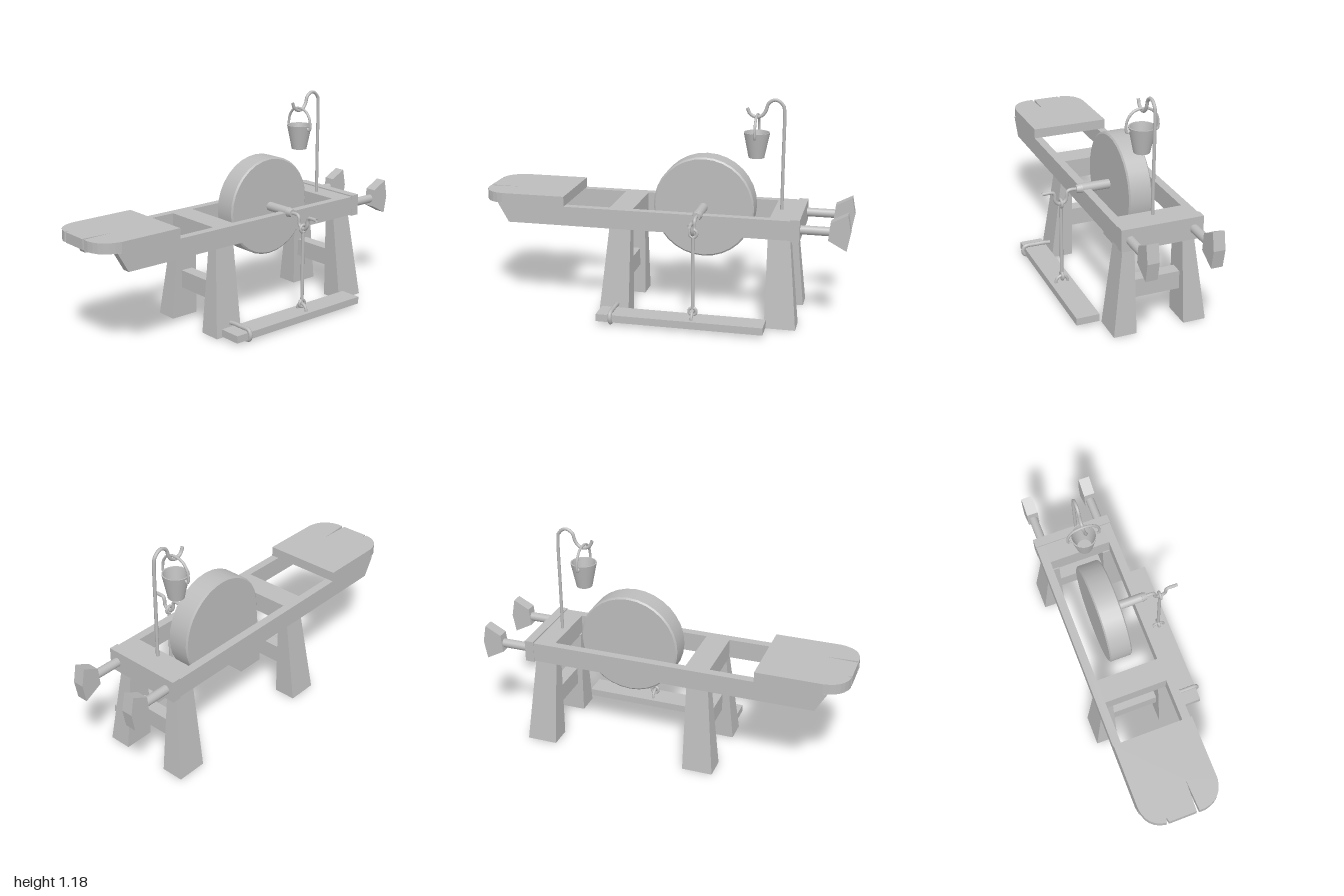
import * as THREE from 'three';

const CX = -0.0925; // middle plane of the bench

export function createModel() {
  const group = new THREE.Group();
  const grey = new THREE.MeshStandardMaterial({ color: 0xbcbcbc, side: THREE.DoubleSide });
  grey.name = 'plain grey';

  const add = (name, geometry) => {
    const mesh = new THREE.Mesh(geometry, grey);
    mesh.name = name;
    group.add(mesh);
    return mesh;
  };
  // box given by its limits
  const box = (name, x0, x1, y0, y1, z0, z1) =>
    add(name, new THREE.BoxGeometry(x1 - x0, y1 - y0, z1 - z0)
      .translate((x0 + x1) / 2, (y0 + y1) / 2, (z0 + z1) / 2));
  // round bar along x, from x0 (radius r0) to x1 (radius r1)
  const barX = (name, x0, x1, r0, r1, y, z, sides = 16, open = false) =>
    add(name, new THREE.CylinderGeometry(r1, r0, x1 - x0, sides, 1, open)
      .rotateZ(-Math.PI / 2).translate((x0 + x1) / 2, y, z));
  // bent wire through a few points
  const wire = (name, points, r, closed = false, tension = 0.5) => {
    const curve = new THREE.CatmullRomCurve3(points.map(p => new THREE.Vector3(...p)), closed, 'catmullrom', tension);
    return add(name, new THREE.TubeGeometry(curve, points.length * 6, r, 8, closed));
  };
  // side profile (z, y) extruded across x0..x1
  const sideExtrude = (name, profile, x0, x1) => {
    const shape = new THREE.Shape(profile.map(([z, y]) => new THREE.Vector2(-z, y)));
    return add(name, new THREE.ExtrudeGeometry(shape, { depth: x1 - x0, bevelEnabled: false })
      .rotateY(Math.PI / 2).translate(x0, 0, 0));
  };

  // Frame: two rails with slanted front ends, cross blocks, end board
  const rail = [[-0.7, 0.48], [0.845, 0.48], [0.905, 0.585], [-0.7, 0.585]];
  sideExtrude('rightRail', rail, -0.31, -0.265);
  sideExtrude('leftRail', rail, 0.08, 0.125);
  box('frontCrossBlock', -0.265, 0.08, 0.478, 0.585, 0.155, 0.285);
  box('backCrossBlock', -0.265, 0.08, 0.478, 0.585, -0.7, -0.58);
  box('endBoard', -0.312, 0.127, 0.473, 0.592, -0.74, -0.69);

  // Seat with rounded front corners and two cracks in the front edge
  const seat = new THREE.Shape();
  seat.moveTo(-0.31, -0.53);
  seat.lineTo(-0.31, -0.88);
  seat.quadraticCurveTo(-0.3, -0.985, -0.2, -1);
  seat.lineTo(-0.192, -0.975);
  seat.lineTo(-0.186, -1);
  seat.lineTo(-0.037, -1);
  seat.lineTo(-0.03, -0.83);
  seat.lineTo(-0.022, -1);
  seat.lineTo(0.01, -1);
  seat.quadraticCurveTo(0.11, -0.985, 0.125, -0.88);
  seat.lineTo(0.125, -0.53);
  add('seat', new THREE.ExtrudeGeometry(seat, { depth: 0.055, bevelEnabled: false, curveSegments: 6 })
    .rotateX(-Math.PI / 2).translate(0, 0.585, 0));

  // Tapered legs, open underneath, with a stretcher for each pair
  const leg = (name, sx, zInner, sz) => {
    const g = new THREE.BoxGeometry(1, 1, 1);
    g.setIndex([...g.index.array].filter((_, i) => i < 18 || i >= 24));
    const p = g.attributes.position;
    for (let i = 0; i < p.count; i++) {
      const top = p.getY(i) > 0;
      const outX = p.getX(i) * sx > 0, outZ = p.getZ(i) * sz > 0;
      p.setXYZ(i,
        CX + sx * (outX ? (top ? 0.19 : 0.2525) : 0.13),
        top ? 0.485 : 0,
        zInner + sz * (outZ ? (top ? 0.117 : 0.165) : 0));
    }
    g.computeVertexNormals();
    add(name, g);
  };
  for (const [end, zInner, sz] of [['front', 0.165, 1], ['back', -0.573, -1]]) {
    leg(end + 'RightLeg', -1, zInner, sz);
    leg(end + 'LeftLeg', 1, zInner, sz);
    const a = zInner + sz * 0.03, b = zInner + sz * 0.1;
    box(end + 'Stretcher', -0.225, 0.045, 0.168, 0.267, Math.min(a, b), Math.max(a, b));
  }

  // Grinding wheel with a small bevel, axle and collar
  const WY = 0.586, WZ = -0.205;
  barX('wheel', -0.148, -0.036, 0.274, 0.274, WY, WZ, 32, true);
  barX('wheelRightBevel', -0.155, -0.148, 0.265, 0.274, WY, WZ, 32);
  barX('wheelLeftBevel', -0.036, -0.029, 0.274, 0.265, WY, WZ, 32);
  barX('axle', -0.03, 0.135, 0.025, 0.025, WY, WZ);
  barX('axleCollar', 0.125, 0.155, 0.027, 0.02, WY, WZ);

  // Crank and connecting rod with eyes at both ends
  wire('crank', [[0.15, WY], [0.19, WY], [0.205, 0.572], [0.208, 0.54], [0.222, 0.521], [0.238, 0.517],
    [0.256, 0.521], [0.27, 0.54], [0.273, 0.572], [0.288, WY], [0.34, WY]].map(([x, y]) => [x, y, WZ]), 0.0095);
  add('connectingRod', new THREE.CylinderGeometry(0.0095, 0.0095, 0.39, 10).translate(0.238, 0.305, WZ));
  for (const y of [0.519, 0.092]) {
    add('rodEye', new THREE.TorusGeometry(0.02, 0.008, 8, 16).rotateY(Math.PI / 2).translate(0.238, y, WZ));
  }

  // Treadle board with its staple and the loop hinging it to the leg
  box('treadle', 0.175, 0.3, 0.015, 0.055, -0.585, 0.308);
  add('treadleStaple', new THREE.TorusGeometry(0.034, 0.008, 8, 14, Math.PI)
    .scale(1, 1.1, 1).translate(0.238, 0.054, WZ));
  wire('treadleLoop', [[0.13, 0.014], [0.22, 0.012], [0.29, 0.012], [0.309, 0.03], [0.309, 0.052],
    [0.292, 0.069], [0.235, 0.069], [0.185, 0.069], [0.13, 0.062]].map(([x, y]) => [x, y, 0.228]), 0.0115);

  // Clamping screws with fan-shaped handles at the back
  const fan = [[-0.885, 0.49], [-0.895, 0.585], [-0.982, 0.63], [-1, 0.535], [-0.982, 0.437]];
  for (const [side, x] of [['right', -0.2625], ['left', 0.0785]]) {
    add(side + 'Screw', new THREE.CylinderGeometry(0.024, 0.024, 0.18, 14)
      .rotateX(Math.PI / 2).translate(x, 0.53, -0.815));
    sideExtrude(side + 'ScrewHandle', fan, x - 0.031, x + 0.031);
  }

  // Hook pole
  wire('hookPole', [[0.58, -0.62], [0.85, -0.62], [1.1, -0.62], [1.153, -0.606], [1.173, -0.57], [1.153, -0.535],
    [1.115, -0.522], [1.088, -0.502], [1.079, -0.47], [1.095, -0.438], [1.125, -0.424]]
    .map(([y, z]) => [-0.09, y, z]), 0.009);

  // Bucket: open thin-walled cup with rim
  const cup = [[0, 0.862], [0.042, 0.862], [0.07, 0.998], [0.064, 0.998], [0.038, 0.87], [0, 0.87]];
  for (let i = 0; i < cup.length - 1; i++) {
    add('bucket', new THREE.LatheGeometry([cup[i], cup[i + 1]].map(([r, y]) => new THREE.Vector2(r, y)), 20)
      .translate(-0.09, 0, -0.477));
  }
  // Bail with small ears turned in at the bucket wall
  wire('bucketBail', [[-0.066, 0.985], [-0.08, 0.975], [-0.087, 0.995], [-0.08, 1.04], [-0.055, 1.075],
    [-0.02, 1.09], [0.02, 1.09], [0.055, 1.075], [0.08, 1.04], [0.087, 0.995], [0.08, 0.975], [0.066, 0.985]]
    .map(([x, y]) => [x - 0.09, y, -0.477]), 0.007);

  return group;
}
